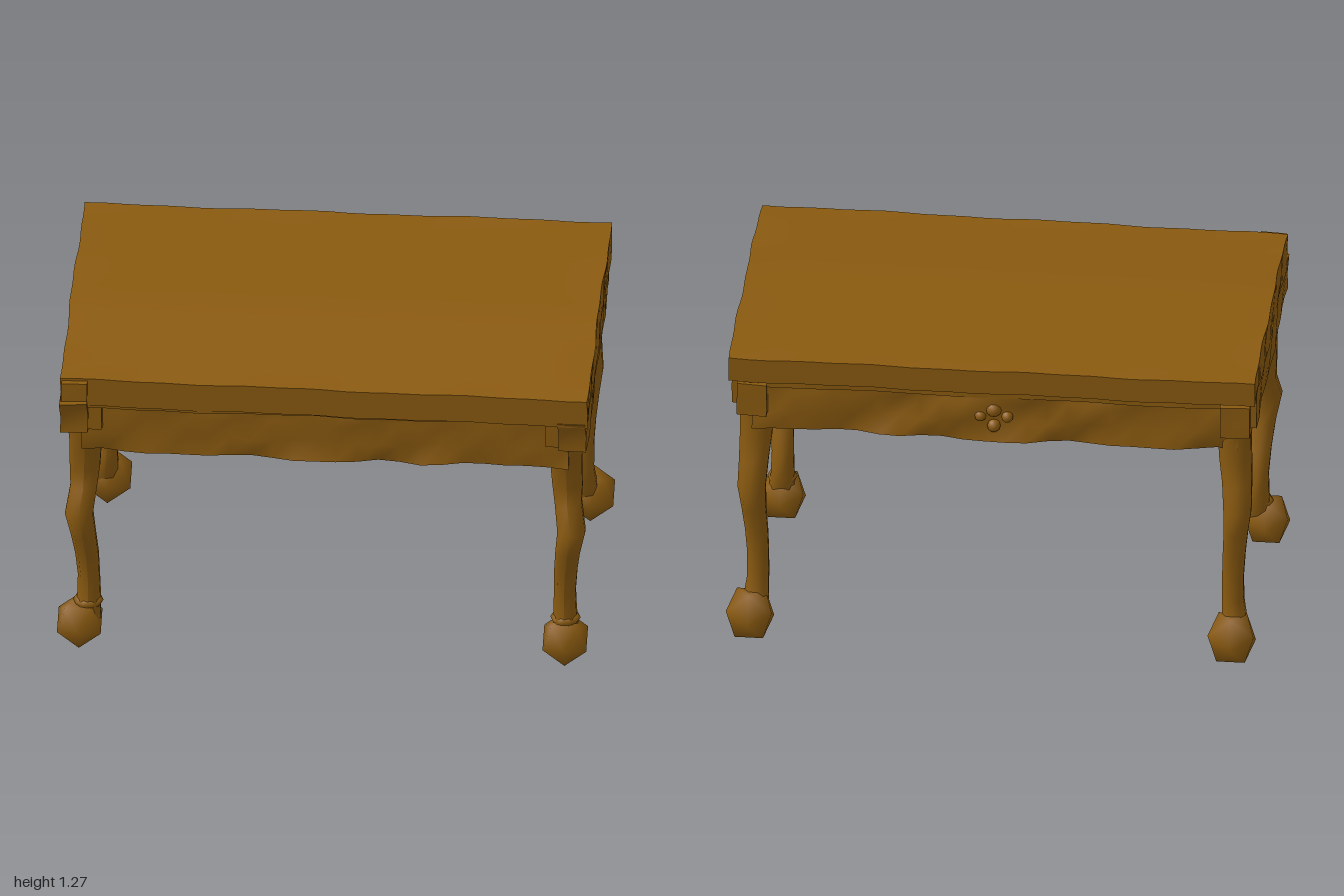
import * as THREE from 'three';
import { mergeVertices } from 'three/addons/utils/BufferGeometryUtils.js';

const wood = new THREE.MeshStandardMaterial({ color: 0x8a5a10 });
wood.name = 'brown wood';

// The whole table leans: heights drop towards the front
const lean = (y, z) => y - 0.06 * z;
// Tabletop surface: level at the back, sloping down to the front
const topHeight = (z) => (z > 0.1 ? 1.275 - 0.104 * (z - 0.1) : 1.279 - 0.006 * (z + 0.6));
// Hand-hewn waviness
const wave = (a, b) => Math.sin(a * 9 + b * 5) * 0.6 + Math.sin(a * 23 - b * 17) * 0.4;

export function createModel() {
  const table = new THREE.Group();
  table.name = 'table';

  function add(name, geometry) {
    const mesh = new THREE.Mesh(geometry, wood);
    mesh.name = name;
    table.add(mesh);
    return mesh;
  }

  // Move every vertex of a geometry by a rule
  function bend(geometry, rule) {
    const p = geometry.attributes.position;
    const v = new THREE.Vector3();
    for (let i = 0; i < p.count; i++) {
      rule(v.fromBufferAttribute(p, i));
      p.setXYZ(i, v.x, v.y, v.z);
    }
    geometry.computeVertexNormals();
    return geometry;
  }

  // Board between two corners, leaning with the table and slightly uneven
  function board(name, [x0, x1], [y0, y1], [z0, z1], rough = 0.004, rule = () => {}) {
    const seg = (d) => Math.max(1, Math.round(d / 0.08));
    const g = new THREE.BoxGeometry(x1 - x0, y1 - y0, z1 - z0, seg(x1 - x0), seg(y1 - y0), seg(z1 - z0));
    g.translate((x0 + x1) / 2, (y0 + y1) / 2, (z0 + z1) / 2);
    add(name, bend(g, (v) => {
      const { x, y, z } = v;
      rule(v);
      v.y = lean(v.y, z) + rough * wave(x, z);
      v.z += rough * wave(x, y * 2);
      v.x += rough * wave(z, y * 2);
    }));
  }

  // Tabletop
  const slab = new THREE.BoxGeometry(1.95, 0.1, 1.2, 26, 2, 24);
  add('tabletop', bend(slab, (v) => {
    const t = v.y / 0.1 + 0.5;
    const { x, z } = v;
    const edge = Math.abs(x) > 0.97 || Math.abs(z) > 0.59 ? 1 : 0;
    v.z = z + (z > 0 ? 0.013 + 0.012 * x * (z / 0.6) : 0.005 * (1 + z));
    v.y = THREE.MathUtils.lerp(lean(1.147, v.z), topHeight(v.z), t) + edge * 0.004 * wave(x, z);
    v.x += edge * 0.005 * wave(z, t) + 0.003;
  }));

  // Carved front and back aprons
  const carve = (out) => (v) => {
    const relief = Math.exp(-v.x * v.x * 18);
    const ridge = 0.010 * Math.sin(v.x * 13 + v.y * 30) + 0.008 * Math.sin(Math.abs(v.x) * 21 - v.y * 41);
    if (v.z * out > 0.5) v.z += out * (ridge + 0.014 * relief);
  };
  board('frontApron', [-0.9, 0.9], [0.925, 1.16], [0.46, 0.55], 0.004, carve(1));
  board('backApron', [-0.9, 0.9], [0.925, 1.16], [-0.54, -0.45], 0.004, carve(-1));
  board('frontRail', [-0.93, 0.93], [1.135, 1.17], [0.5, 0.6]);
  board('backRail', [-0.93, 0.93], [1.11, 1.16], [-0.56, -0.48]);

  // Carved knot in the middle of the back apron
  for (const [x, y, r] of [[0, 1.06, 0.03], [-0.05, 1.03, 0.022], [0.05, 1.03, 0.022], [0, 0.99, 0.025]]) {
    const knot = add('carvedKnot', new THREE.IcosahedronGeometry(r, 1));
    knot.position.set(x, lean(y, -0.54), -0.553);
  }

  for (const s of [-1, 1]) {
    const span = (a, b) => (s > 0 ? [a, b] : [-b, -a]);
    // Side panels and lower side aprons
    board('sidePanel', span(0.87, 0.972), [1.03, 1.16], [-0.55, 0.6], 0.005, (v) => {
      if (v.z > 0.55 && v.y > 1.1) v.z += 0.025;
    });
    board('sideApron', span(0.83, 0.91), [0.925, 1.12], [-0.5, 0.5], 0.005);
    // Corner blocks
    board('frontCornerBlock', span(0.82, 0.945), [1.035, 1.15], [0.46, 0.585]);
    board('backCornerBlock', span(0.84, 0.95), [1.005, 1.135], [-0.597, -0.46]);
  }
  board('cornerTab', [-0.965, -0.87], [1.175, 1.25], [0.56, 0.627]);

  // Curved leg lofted through rows of [y, centre z, half depth, x, half width]
  function leg(name, rows, s) {
    const last = rows.length - 1;
    const g = new THREE.CylinderGeometry(1, 1, 1, 10, last);
    add(name, bend(g, (v) => {
      const [y, z, rz, x, rx] = rows[Math.round((0.5 - v.y) * last)];
      // Square off the round section; cap centres stay in the middle
      const size = Math.cbrt(Math.abs(v.x) ** 3 + Math.abs(v.z) ** 3) || 1;
      v.set(s * x + (v.x / size) * rx, y, z + (v.z / size) * rz);
    }));
  }
  const frontRows = [
    [1.10, 0.485, 0.075, 0.89, 0.065], [1.0, 0.480, 0.070, 0.89, 0.065], [0.9, 0.470, 0.060, 0.888, 0.06],
    [0.77, 0.450, 0.050, 0.892, 0.056], [0.70, 0.458, 0.055, 0.895, 0.05], [0.6, 0.502, 0.053, 0.91, 0.052],
    [0.5, 0.485, 0.045, 0.895, 0.046], [0.4, 0.448, 0.046, 0.885, 0.043], [0.3, 0.422, 0.053, 0.88, 0.04],
    [0.21, 0.415, 0.055, 0.88, 0.043], [0.12, 0.430, 0.050, 0.885, 0.05],
  ];
  const backRows = [
    [1.12, -0.475, 0.060, 0.885, 0.065], [1.0, -0.475, 0.057, 0.885, 0.062], [0.9, -0.472, 0.060, 0.888, 0.06],
    [0.8, -0.487, 0.054, 0.895, 0.055], [0.7, -0.522, 0.053, 0.9, 0.052], [0.6, -0.512, 0.045, 0.893, 0.045],
    [0.5, -0.495, 0.041, 0.885, 0.042], [0.4, -0.487, 0.043, 0.88, 0.04], [0.3, -0.485, 0.045, 0.88, 0.04],
    [0.23, -0.492, 0.050, 0.885, 0.045], [0.15, -0.52, 0.050, 0.89, 0.05],
  ];

  // Faceted ball foot with softened normals
  function foot(name, x, y, z, rx, ry, rz) {
    let g = new THREE.IcosahedronGeometry(1, 0);
    g.deleteAttribute('normal');
    g.deleteAttribute('uv');
    g = mergeVertices(g, 1e-3);
    g.rotateX(0.55);
    g.scale(rx, ry, rz);
    g.translate(x, y, z);
    g.computeVertexNormals();
    add(name, g);
  }

  for (const s of [-1, 1]) {
    leg('frontLeg', frontRows, s);
    leg('backLeg', backRows, s);
    foot('frontFoot', s < 0 ? -0.913 : 0.882, 0.1, 0.435, 0.095, 0.102, 0.103);
    foot('backFoot', s < 0 ? -0.88 : 0.905, 0.16, -0.54, 0.1, 0.108, 0.103);
    const collar = add('ankleCollar', new THREE.TorusGeometry(0.038, 0.018, 6, 10));
    collar.rotation.x = Math.PI / 2;
    collar.position.set(s * 0.882, 0.185, 0.425);
  }

  return table;
}
